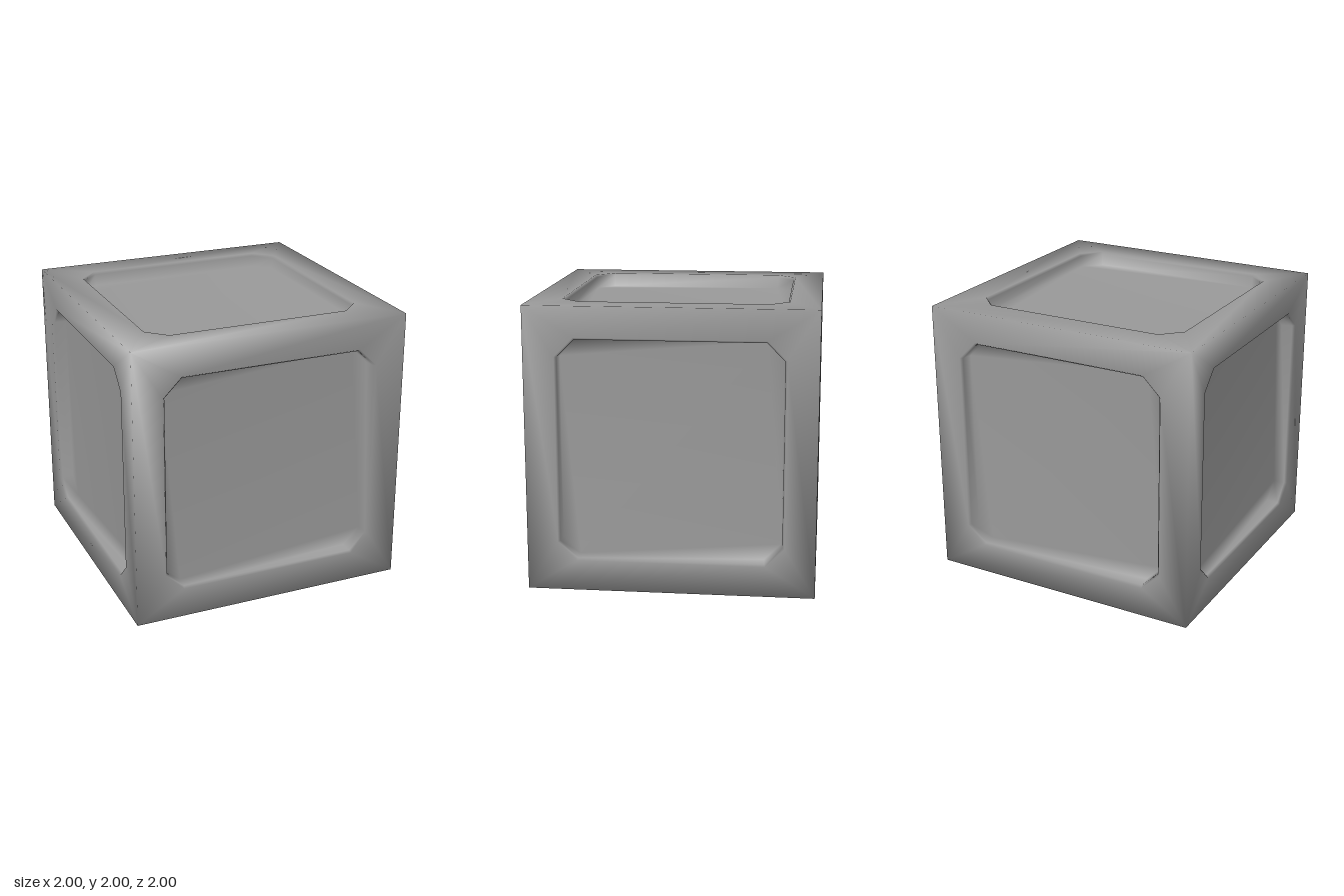
import * as THREE from 'three';
import { mergeVertices } from 'three/addons/utils/BufferGeometryUtils.js';

// Octagon rings of the recess: [half length of a side, distance from centre, height]
const RINGS = [
  [0.653, 0.785, 1],     // rim
  [0.648, 0.771, 0.982], // foot of the small bevel
  [0.645, 0.763, 0.9],   // foot of the wall
];

// One cube face looking along +z: flat frame, bevelled wall, sunken octagonal panel
function faceTriangles() {
  const tris = [];
  const tri = (...p) => tris.push(...p.flat());
  const turn = (x, y, z, k) => {
    for (let i = 0; i < k % 4; i++) [x, y] = [-y, x];
    return [x, y, z];
  };
  const corner = k => turn(1, 1, 1, k);
  const a = (r, k) => turn(-RINGS[r][0], RINGS[r][1], RINGS[r][2], k);
  const b = (r, k) => turn(RINGS[r][0], RINGS[r][1], RINGS[r][2], k);

  for (let k = 0; k < 4; k++) {
    const n = k + 1;
    // frame
    tri(a(0, k), corner(k), corner(n));
    tri(a(0, k), b(0, k), corner(k));
    tri(corner(n), b(0, n), a(0, k));
    // bevel and wall, along the side and across the cut corner
    for (let r = 0; r < 2; r++) {
      tri(a(r + 1, k), b(r + 1, k), b(r, k));
      tri(a(r + 1, k), b(r, k), a(r, k));
      tri(b(r + 1, n), a(r + 1, k), a(r, k));
      tri(b(r + 1, n), a(r, k), b(r, n));
    }
    // edge strip of the panel
    tri(b(2, n), b(2, k), a(2, k));
  }
  // middle of the panel
  tri(b(2, 0), b(2, 1), b(2, 2));
  tri(b(2, 0), b(2, 2), b(2, 3));
  return tris;
}

export function createModel() {
  const group = new THREE.Group();
  group.name = 'panelledCube';

  // turn the same face to all six sides
  const h = Math.PI / 2;
  const turns = [[0, 0], [0, h], [0, 2 * h], [0, -h], [h, 0], [-h, 0]];
  const positions = [];
  for (const [rx, ry] of turns) {
    const side = new THREE.BufferGeometry();
    side.setAttribute('position', new THREE.Float32BufferAttribute(faceTriangles(), 3));
    side.rotateX(rx).rotateY(ry);
    for (const v of side.attributes.position.array) positions.push(Math.round(v * 1e4) / 1e4);
  }

  // weld the sides so the shading runs smoothly over the edges
  let geometry = new THREE.BufferGeometry();
  geometry.setAttribute('position', new THREE.Float32BufferAttribute(positions, 3));
  geometry = mergeVertices(geometry, 1e-3);
  geometry.computeVertexNormals();

  const cube = new THREE.Mesh(geometry, new THREE.MeshStandardMaterial({ color: 0x999999 }));
  cube.name = 'recessedPanelCube';
  cube.position.y = 1;
  group.add(cube);
  return group;
}
